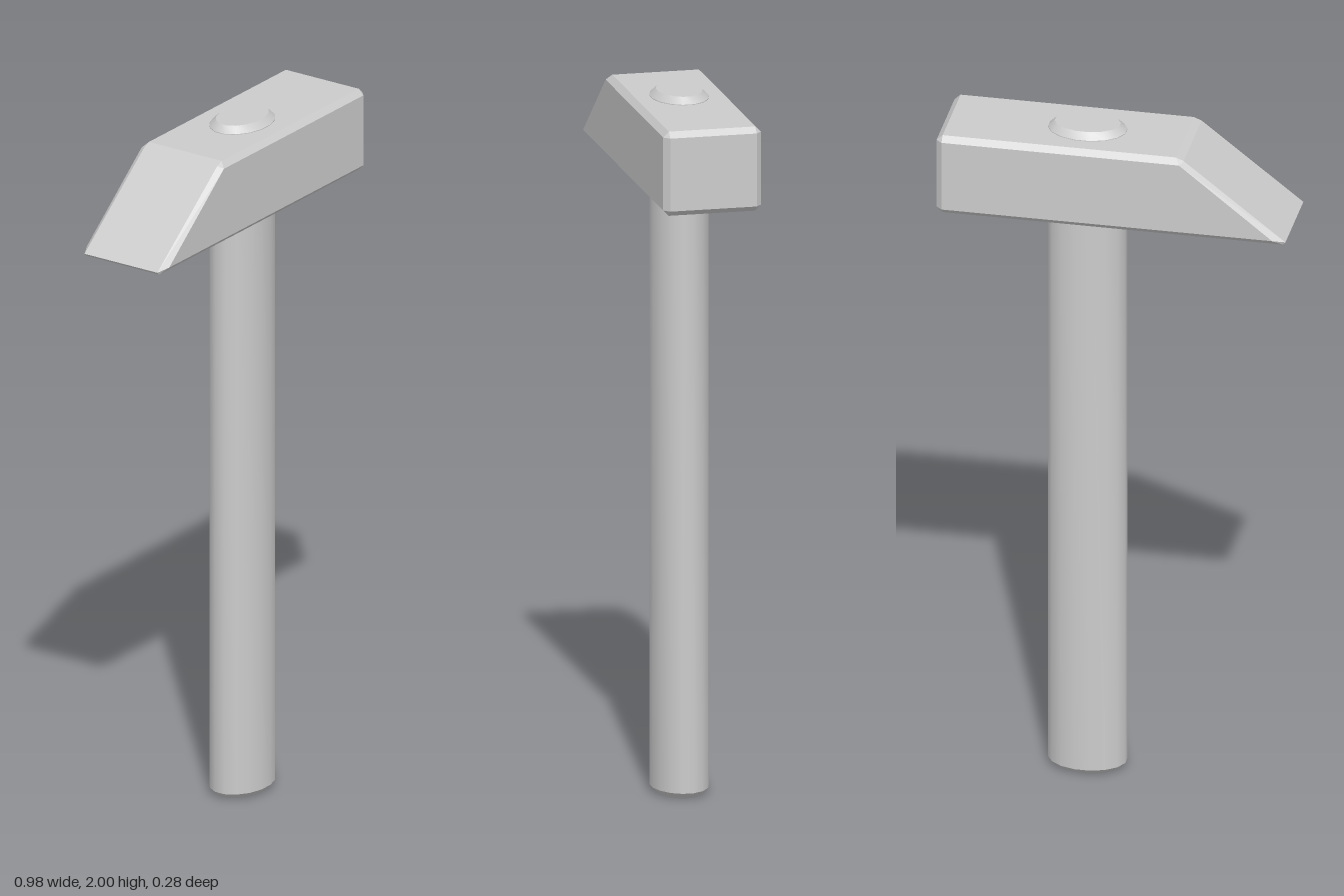
import * as THREE from 'three';
import { toCreasedNormals } from 'three/addons/utils/BufferGeometryUtils.js';
import { ConvexGeometry } from 'three/addons/geometries/ConvexGeometry.js';

export function createModel() {
  const group = new THREE.Group();
  const material = new THREE.MeshStandardMaterial({ color: 0xcccccc });
  const add = (name, geometry) => {
    const mesh = new THREE.Mesh(geometry, material);
    mesh.name = name;
    group.add(mesh);
    return mesh;
  };

  // Handle: 16-sided oval bar with chamfered ends, running through the head
  const sides = 16, chamfer = 0.018;
  const oval = [];
  for (let i = 0; i < sides; i++) {
    const a = ((i + 0.5) / sides) * Math.PI * 2;
    oval.push(new THREE.Vector2(0.111 * Math.cos(a), 0.081 * Math.sin(a)));
  }
  const bar = new THREE.ExtrudeGeometry(new THREE.Shape(oval), {
    depth: 2 - 2 * chamfer,
    bevelEnabled: true,
    bevelSegments: 1,
    bevelSize: chamfer,
    bevelThickness: chamfer,
    bevelOffset: -chamfer,
  });
  bar.rotateX(-Math.PI / 2).translate(0.091, chamfer, 0);
  add('handle', toCreasedNormals(bar, THREE.MathUtils.degToRad(36)));

  // Head: wedge-ended block, its full outline inside and a smaller outline on each side face
  const outline = [
    [-0.492, 1.748], [-0.484, 1.74], [0.475, 1.74], [0.492, 1.756],
    [0.492, 1.964], [0.475, 1.98], [-0.183, 1.98], [-0.205, 1.971],
  ];
  const sideFace = [[-0.458, 1.756], [0.475, 1.756], [0.475, 1.964], [-0.195, 1.964]];
  const corners = [];
  for (const s of [-1, 1]) {
    for (const [x, y] of outline) corners.push(new THREE.Vector3(x, y, s * 0.123));
    for (const [x, y] of sideFace) corners.push(new THREE.Vector3(x, y, s * 0.139));
  }
  add('head', new ConvexGeometry(corners));

  return group;
}
